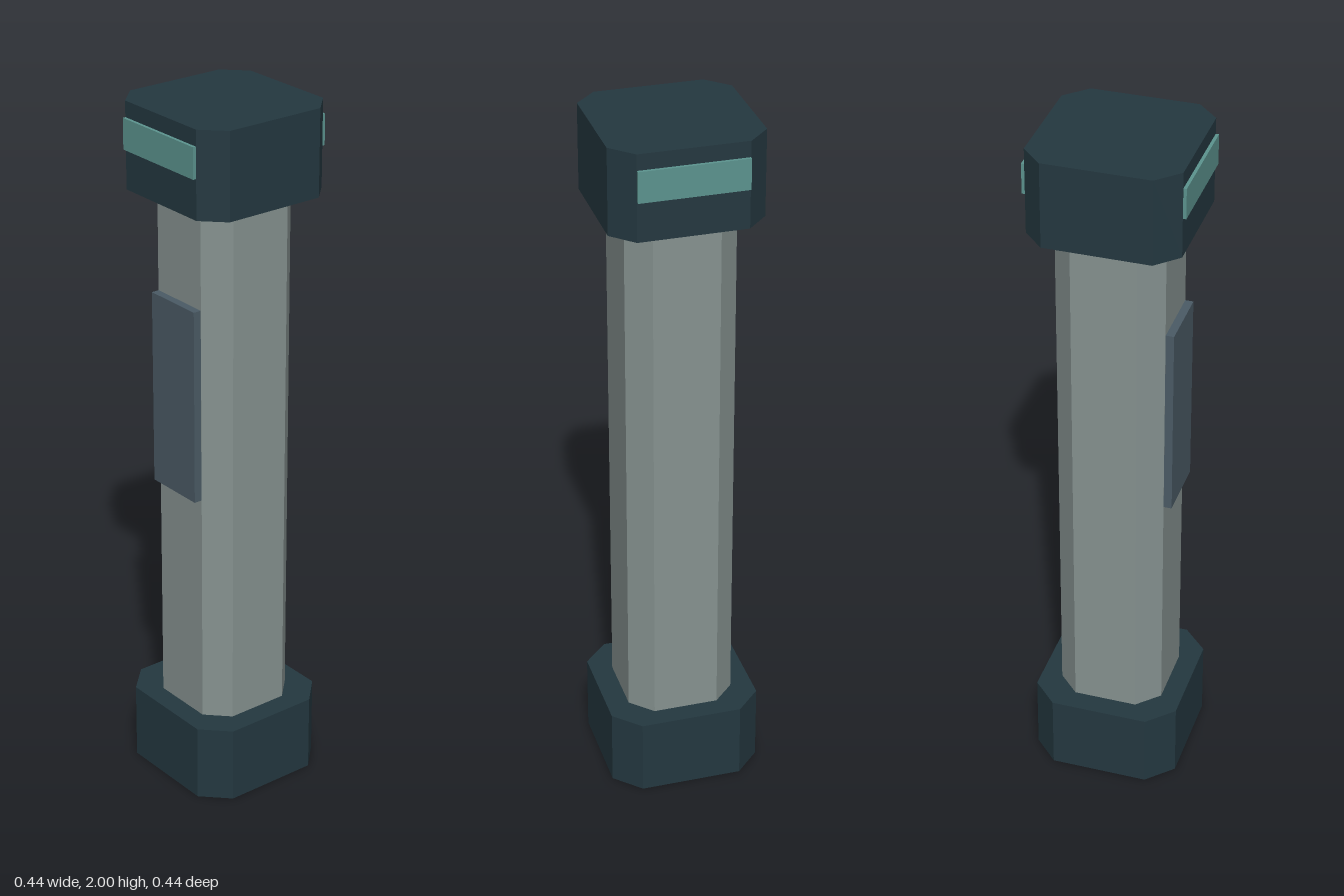
import * as THREE from 'three';

const flat = (name, color) => {
  const m = new THREE.MeshStandardMaterial({ color });
  m.name = name;
  return m;
};

// Upright prism with a chamfered rectangle as its plan
function chamferedPrism(hx, hz, cut, y0, y1) {
  const s = new THREE.Shape([
    [hx, cut - hz], [hx, hz - cut], [hx - cut, hz], [cut - hx, hz],
    [-hx, hz - cut], [-hx, cut - hz], [cut - hx, -hz], [hx - cut, -hz],
  ].map(([x, y]) => new THREE.Vector2(x, y)));
  const g = new THREE.ExtrudeGeometry(s, { depth: y1 - y0, bevelEnabled: false });
  return g.rotateX(-Math.PI / 2).translate(0, y0, 0);
}

// Box given by its width and its y and z ranges
function plate(width, y0, y1, z0, z1) {
  return new THREE.BoxGeometry(width, y1 - y0, z1 - z0)
    .translate(0, (y0 + y1) / 2, (z0 + z1) / 2);
}

export function createModel() {
  const model = new THREE.Group();
  model.name = 'pillar';
  const darkTeal = flat('dark teal', 0x243840);
  const grey = flat('grey metal', 0x869290);
  const slate = flat('slate', 0x4b5b66);
  const glow = flat('pale teal', 0x5c948f);

  const add = (name, geometry, material) => {
    const mesh = new THREE.Mesh(geometry, material);
    mesh.name = name;
    model.add(mesh);
  };

  // Foot, shaft and head
  add('base', chamferedPrism(0.218, 0.212, 0.072, 0, 0.225), darkTeal);
  add('shaft', chamferedPrism(0.154, 0.152, 0.061, 0.225, 1.755), grey);
  add('cap', chamferedPrism(0.212, 0.21, 0.061, 1.755, 2), darkTeal);

  // Panel on the front only
  add('frontPanel', plate(0.184, 0.91, 1.472, 0.15, 0.175), slate);

  // Light strips on the front and back of the cap
  add('frontLight', plate(0.3, 1.868, 1.955, 0.205, 0.219), glow);
  add('backLight', plate(0.3, 1.868, 1.955, -0.219, -0.205), glow);

  return model;
}
